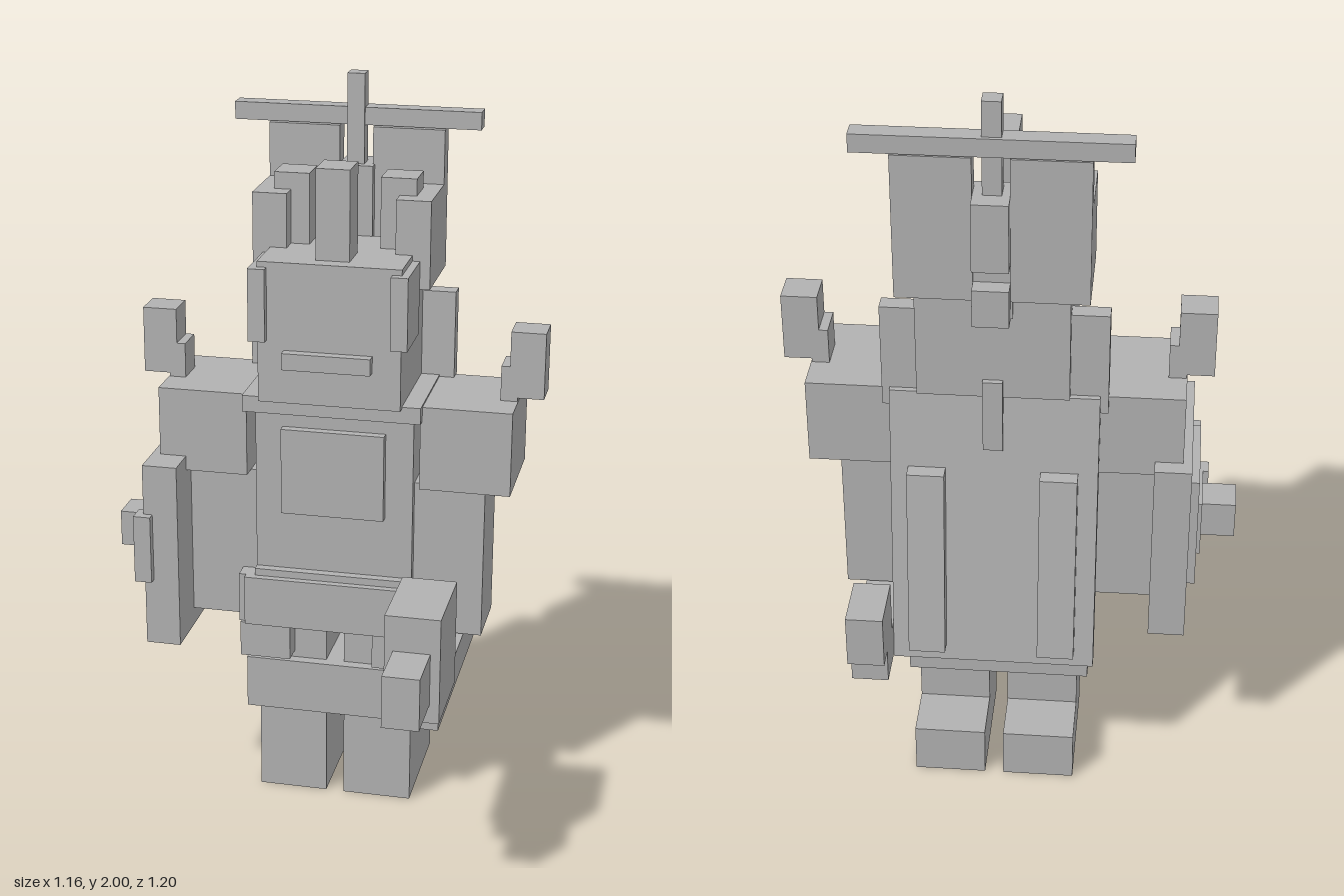
import * as THREE from 'three';

export function createModel() {
  const model = new THREE.Group();
  const grey = new THREE.MeshStandardMaterial({ color: 0xb2b2b2 });
  grey.name = 'plain grey';
  const CX = 0.035; // body symmetry plane

  // Block from its minimum and maximum on each axis
  function block(name, x0, x1, y0, y1, z0, z1) {
    const mesh = new THREE.Mesh(new THREE.BoxGeometry(x1 - x0, y1 - y0, z1 - z0), grey);
    mesh.position.set((x0 + x1) / 2, (y0 + y1) / 2, (z0 + z1) / 2);
    mesh.name = name;
    model.add(mesh);
    return mesh;
  }
  // Left block and its mirror across the body plane
  function pair(name, x0, x1, ...rest) {
    block(name + 'Left', x0, x1, ...rest);
    block(name + 'Right', 2 * CX - x1, 2 * CX - x0, ...rest);
  }
  // Sheared slab that leans backwards towards the bottom
  function leaning(name, x0, x1, y0, y1, zBackTop, zBackBottom, thick) {
    const mesh = block(name, x0, x1, y0, y1, -thick, 0);
    const p = mesh.geometry.attributes.position;
    for (let i = 0; i < p.count; i++) {
      const back = p.getY(i) > 0 ? zBackTop : zBackBottom;
      p.setZ(i, p.getZ(i) < 0 ? back : back + thick);
    }
    mesh.position.z = 0;
    mesh.geometry.computeVertexNormals();
  }

  // Legs and hips
  pair('leg', 0.06, 0.25, 0, 0.53, -0.26, -0.07);
  pair('foot', 0.06, 0.25, 0, 0.14, -0.405, -0.26);
  block('pelvis', -0.21, 0.275, 0.26, 0.41, -0.29, -0.04);
  pair('skirtPanel', 0.15, 0.29, 0.43, 0.53, -0.31, -0.01);
  block('belt', -0.205, 0.275, 0.53, 0.67, -0.33, 0);
  block('beltTop', -0.18, 0.25, 0.53, 0.69, -0.31, -0.02);
  pair('hipPlate', 0.27, 0.295, 0.53, 0.67, -0.33, -0.02);

  // Torso
  block('torso', -0.18, 0.25, 0.67, 1.15, -0.285, -0.045);
  block('chestPlate', -0.105, 0.175, 0.86, 1.1, -0.05, -0.02);
  block('neckCollar', -0.205, 0.275, 1.15, 1.195, -0.3, 0);
  block('backCollar', -0.25, 0.315, 1.15, 1.43, -0.33, -0.285);

  // Arms, shoulders and shoulder spikes
  pair('arm', 0.25, 0.44, 0.53, 0.96, -0.26, -0.07);
  pair('shoulder', 0.27, 0.512, 0.96, 1.19, -0.315, -0.025);
  pair('spikeBase', 0.465, 0.51, 1.19, 1.285, -0.215, -0.125);
  pair('spike', 0.488, 0.58, 1.2, 1.38, -0.215, -0.125);

  // Head
  block('head', -0.155, 0.225, 1.19, 1.57, -0.29, 0.022);
  block('mouth', -0.085, 0.15, 1.29, 1.335, 0.02, 0.05);
  pair('cheekGuard', 0.2, 0.245, 1.36, 1.555, -0.12, 0.045);
  block('crest', -0.01, 0.08, 1.57, 1.81, -0.12, -0.02);
  pair('innerHorn', 0.13, 0.225, 1.57, 1.76, -0.265, -0.17);
  pair('outerHorn', 0.18, 0.272, 1.48, 1.715, -0.315, -0.12);

  // Tall fins and plate behind the head
  pair('fin', 0.08, 0.272, 1.48, 1.86, -0.365, -0.31);
  block('finBridge', -0.015, 0.085, 1.43, 1.76, -0.36, -0.285);
  block('headBackPlate', -0.155, 0.225, 1.2, 1.48, -0.355, -0.285);
  block('upperStud', -0.01, 0.08, 1.58, 1.76, -0.405, -0.355);
  block('lowerStud', -0.01, 0.08, 1.43, 1.53, -0.405, -0.35);
  block('backStem', 0.01, 0.06, 1.05, 1.25, -0.37, -0.3);
  block('post', 0.01, 0.057, 1.76, 2, -0.355, -0.308);
  block('crossbar', -0.297, 0.367, 1.863, 1.91, -0.365, -0.315);

  // Cape with two raised strips
  leaning('cape', -0.23, 0.295, 0.42, 1.2, -0.345, -0.435, 0.045);
  for (const x of [-0.18, 0.155]) {
    leaning('capeStrip', x, x + 0.095, 0.47, 0.99, -0.41, -0.47, 0.04);
  }

  // Hammer held in the left hand
  block('handle', 0.295, 0.39, 0.43, 0.525, -0.545, 0.31);
  block('pommel', 0.295, 0.39, 0.525, 0.67, -0.6, -0.45);
  block('hammerHead', 0.273, 0.415, 0.525, 0.81, 0.212, 0.452);
  block('hammerTip', 0.295, 0.39, 0.575, 0.715, 0.452, 0.595);

  // Shield on the right arm
  block('shield', -0.465, -0.37, 0.48, 1, -0.36, 0.07);
  block('shieldPlate', -0.487, -0.46, 0.58, 0.905, -0.265, 0);
  block('shieldInnerPlate', -0.497, -0.48, 0.65, 0.81, -0.225, -0.04);
  block('shieldNub', -0.512, -0.48, 0.77, 0.81, -0.075, -0.03);
  block('shieldBoss', -0.585, -0.485, 0.69, 0.79, -0.195, -0.1);
  block('shieldRim', -0.487, -0.44, 0.67, 0.86, 0.04, 0.093);

  return model;
}
